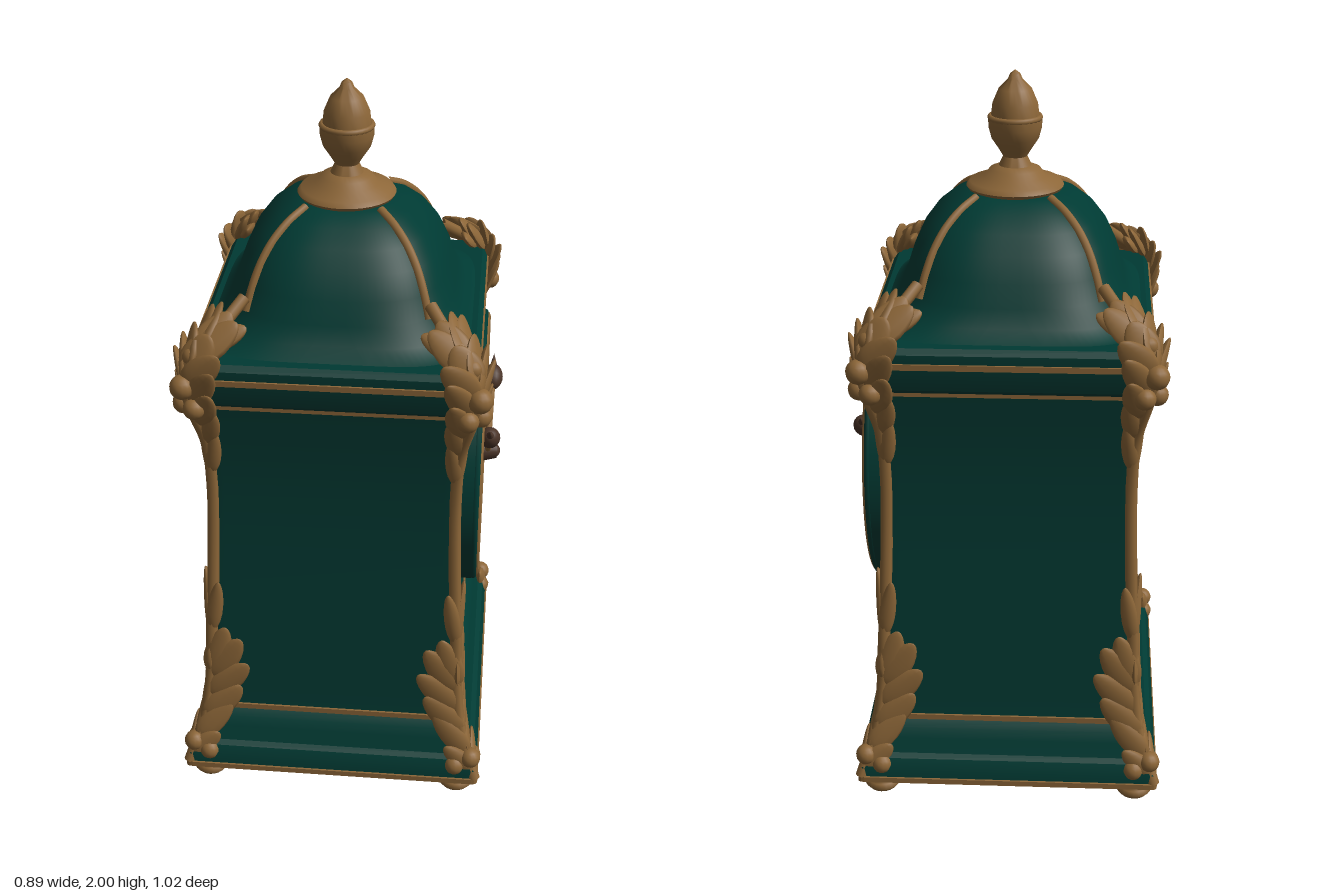
import * as THREE from 'three';
import { mergeGeometries, toCreasedNormals } from 'three/addons/utils/BufferGeometryUtils.js';

const mat = (name, color) => new THREE.MeshStandardMaterial({ name, color });
const V = (x, y, z) => new THREE.Vector3(x, y, z);

// Closed loft through superellipse rings [y, halfX, halfZ, exponent]
function loft(rings, seg = 96) {
  const pos = [], idx = [];
  for (const [y, hx, hz, n] of rings)
    for (let i = 0; i < seg; i++) {
      const a = ((i + 0.5) / seg) * Math.PI * 2, c = Math.cos(a), s = Math.sin(a);
      pos.push(hx * Math.sign(c) * Math.abs(c) ** (2 / n), y, hz * Math.sign(s) * Math.abs(s) ** (2 / n));
    }
  for (let r = 0; r < rings.length - 1; r++)
    for (let i = 0; i < seg; i++) {
      const j = (i + 1) % seg, a = r * seg + i, b = r * seg + j;
      idx.push(a, a + seg, b, b, a + seg, b + seg);
    }
  const last = rings.length - 1, base = pos.length / 3;
  pos.push(0, rings[0][0], 0, 0, rings[last][0], 0);
  for (let i = 0; i < seg; i++) {
    const j = (i + 1) % seg;
    idx.push(base, i, j, base + 1, last * seg + j, last * seg + i);
  }
  const g = new THREE.BufferGeometry();
  g.setAttribute('position', new THREE.Float32BufferAttribute(pos, 3));
  g.setIndex(idx);
  return toCreasedNormals(g, 0.5);
}

// Pointed leaflet from y = 0 to 1, curling towards +z at its tip
function leaflet() {
  const g = new THREE.SphereGeometry(1, 10, 10), p = g.attributes.position;
  for (let i = 0; i < p.count; i++) {
    const t = (p.getY(i) + 1) / 2, taper = 1.1 - 0.35 * t;
    p.setXYZ(i, p.getX(i) * taper, t, p.getZ(i) * taper + 1.1 * t * t);
  }
  g.computeVertexNormals();
  return g;
}

export function createModel() {
  const model = new THREE.Group();
  const teal = mat('deep teal', 0x003a33), gold = mat('antique gold', 0x8c6638);
  const amber = mat('dial amber', 0xe2a259), red = mat('dark red', 0x620006);
  const bronze = mat('dark bronze', 0x4a3428);
  const add = (name, geo, m, parent = model) => {
    const mesh = new THREE.Mesh(geo, m);
    mesh.name = name;
    parent.add(mesh);
    return mesh;
  };

  // Flared plinth, waisted case and cornice
  const N = 70;
  add('case', loft([
    [0.046, 0.425, 0.5, N], [0.09, 0.425, 0.498, N], [0.12, 0.415, 0.485, N], [0.13, 0.4, 0.47, N],
    [0.17, 0.385, 0.455, N], [0.2, 0.375, 0.445, N], [0.22, 0.355, 0.425, N], [0.3, 0.35, 0.418, N],
    [0.5, 0.345, 0.408, N], [0.75, 0.337, 0.392, N], [0.95, 0.333, 0.386, N], [1.1, 0.337, 0.395, N],
    [1.22, 0.35, 0.41, N], [1.24, 0.365, 0.43, N], [1.3, 0.38, 0.445, N], [1.345, 0.385, 0.445, N],
    [1.36, 0.37, 0.43, N],
  ]), teal);

  // Four-sided dome
  const D = 3.1;
  const dome = [
    [1.36, 0.355, 0.4, 5], [1.39, 0.325, 0.362, 4], [1.44, 0.304, 0.338, D], [1.5, 0.285, 0.313, D],
    [1.56, 0.258, 0.277, D], [1.61, 0.222, 0.235, D], [1.65, 0.175, 0.185, D], [1.675, 0.125, 0.13, D], [1.685, 0.08, 0.08, 2],
  ];
  add('dome', loft([[1.35, 0.365, 0.425, N], ...dome]), teal);

  // Gold moulding lines; the last three show on one pair of sides only
  const mouldings = [[0.057, 0.43, 0.505], [0.226, 0.36, 0.43], [1.226, 0.34, 0.419], [1.313, 0.37, 0.451], [1.338, 0.389, 0.43]];
  for (const [y, hx, hz] of mouldings)
    add('moulding', loft([[y - 0.008, hx, hz, N], [y + 0.008, hx, hz, N]]), gold);

  // Finial on its stepped disc
  const finial = [[0.001, 1.67], [0.125, 1.67], [0.135, 1.685], [0.125, 1.698], [0.085, 1.71], [0.07, 1.73],
    [0.045, 1.74], [0.033, 1.765], [0.045, 1.785], [0.065, 1.815], [0.073, 1.845], [0.074, 1.87], [0.066, 1.875],
    [0.062, 1.91], [0.045, 1.95], [0.02, 1.975], [0.014, 1.99], [0.001, 2]].map(p => new THREE.Vector2(...p));
  add('finial', toCreasedNormals(new THREE.LatheGeometry(finial, 32), 0.7), gold);
  const cup = add('finialRim', new THREE.TorusGeometry(0.068, 0.008, 8, 28), gold);
  cup.rotation.x = Math.PI / 2;
  cup.position.y = 1.872;

  // Corner edge path, and leaves as [y, angle, length, halfWidth]
  const path = [[0.42, 0.06, 0.49], [0.375, 0.2, 0.445], [0.355, 0.35, 0.42], [0.35, 0.5, 0.41], [0.342, 0.65, 0.4],
    [0.334, 0.95, 0.384], [0.342, 1.1, 0.397], [0.372, 1.23, 0.435], [0.382, 1.31, 0.445], [0.36, 1.37, 0.415], [0.3, 1.425, 0.338],
    [0.247, 1.48, 0.272]];
  const leaves = [
    [0.08, 0.55, 0.13, 0.035], [0.13, 0.4, 0.18, 0.04], [0.19, 0.6, 0.18, 0.045], [0.26, 0.7, 0.19, 0.045],
    [0.32, 0.5, 0.19, 0.045], [0.34, 0.2, 0.19, 0.04], [0.48, 0.12, 0.2, 0.025],
    [1.0, 0.15, 0.17, 0.025], [1.1, 0.35, 0.15, 0.032], [1.17, 0.5, 0.16, 0.04], [1.24, 0.65, 0.16, 0.04],
    [1.3, 0.75, 0.15, 0.045], [1.33, 0.3, 0.14, 0.05], [1.365, 0.55, 0.17, 0.045], [1.375, 0.15, 0.16, 0.045], [1.39, 0.85, 0.14, 0.035]];
  const scrolls = [[0.405, 0.125, 0.475, 0.03], [0.405, 0.1, 0.43, 0.03], [0.36, 0.1, 0.48, 0.03],
    [0.393, 1.24, 0.425, 0.03], [0.36, 1.24, 0.458, 0.03], [0.39, 1.3, 0.452, 0.034], [0.365, 1.375, 0.42, 0.028]];
  for (const sx of [1, -1]) for (const sz of [1, -1]) {
    const corner = new THREE.Group();
    corner.name = 'cornerMount';
    model.add(corner);
    const curve = new THREE.CatmullRomCurve3(path.map(([x, y, z]) => V(x * sx, y, z * sz)));
    add('cornerEdge', new THREE.TubeGeometry(curve, 60, 0.017, 8), gold, corner);
    const samples = curve.getPoints(300), parts = [];
    for (const [y, angle, len, w] of leaves) for (const side of [0, 1]) {
      const k = samples.findIndex(p => p.y >= y);
      const dir = samples[k + 1].clone().sub(samples[k]).normalize().multiplyScalar(Math.cos(angle));
      dir.addScaledVector(side ? V(-sx, 0, 0) : V(0, 0, -sz), Math.sin(angle)).normalize();
      // Over the cornice the leaves turn to lie against the dome
      const out = side ? V(0, 0, sz) : V(sx, 0, 0);
      if (y > 1.32) out.y += 0.8;
      out.addScaledVector(dir, -out.dot(dir)).normalize();
      const right = dir.clone().cross(out);
      const reach = side ? len * 0.88 : len;
      const m = new THREE.Matrix4().makeBasis(right.multiplyScalar(w), dir.multiplyScalar(reach), out.clone().multiplyScalar(0.017));
      m.setPosition(samples[k].clone().addScaledVector(out, 0.004));
      parts.push(leaflet().applyMatrix4(m));
    }
    for (const [x, y, z, r] of scrolls) parts.push(new THREE.SphereGeometry(r, 14, 10).translate(x * sx, y, z * sz));
    add('acanthusLeaves', mergeGeometries(parts), gold, corner);

    // Rib over the dome
    const f = 0.5 ** (1 / D);
    const rib = new THREE.CatmullRomCurve3(dome.slice(2, 8).map(([y, hx, hz]) => V(hx * f * sx, y, hz * f * sz)));
    add('domeRib', new THREE.TubeGeometry(rib, 24, 0.012, 8), gold);

    // Bun foot
    const foot = [[0.001, 0], [0.04, 0], [0.05, 0.012], [0.045, 0.026], [0.034, 0.034], [0.04, 0.055]].map(p => new THREE.Vector2(...p));
    add('foot', new THREE.LatheGeometry(foot, 20), gold).position.set(0.365 * sx, 0, 0.44 * sz);
  }

  // Dial assembly, facing +x
  const dial = new THREE.Group();
  dial.name = 'dial';
  dial.rotation.y = Math.PI / 2;
  dial.position.y = 0.905;
  model.add(dial);
  const face = new THREE.Group();
  face.name = 'dialFace';
  face.scale.set(0.965, 1.02, 1);
  dial.add(face);
  const disc = (name, r0, r1, z0, z1, m) =>
    add(name, new THREE.CylinderGeometry(r1, r0, z1 - z0, 64).rotateX(Math.PI / 2).translate(0, 0, (z0 + z1) / 2), m, face);
  const ring = (name, r, t, z, m) => add(name, new THREE.TorusGeometry(r, t, 8, 64).translate(0, 0, z), m, face);
  disc('dialDrum', 0.395, 0.391, 0.27, 0.383, teal);
  disc('dialPlate', 0.37, 0.37, 0.38, 0.387, amber);
  ring('dialSurround', 0.381, 0.011, 0.387, teal);
  ring('bezel', 0.372, 0.013, 0.391, gold);
  ring('bezelInnerLine', 0.356, 0.005, 0.388, bronze);
  ring('chapterRing', 0.238, 0.006, 0.387, gold);
  for (let i = 0; i < 12; i++) {
    const marker = new THREE.Group();
    marker.name = 'hourMarker';
    marker.rotation.z = (i * Math.PI) / 6;
    face.add(marker);
    add('markerFrame', new THREE.BoxGeometry(0.034, 0.1, 0.008).translate(0, 0.3, 0.388), gold, marker);
    add('markerBar', new THREE.BoxGeometry(0.022, 0.088, 0.006).translate(0, 0.3, 0.391), bronze, marker);
  }

  // Painted red centre
  const blot = [[-0.2, 0.2], [-0.13, 0.19], [-0.1, 0.14], [-0.03, 0.175], [0.08, 0.16], [0.13, 0.1], [0.2, 0.02], [0.19, -0.06],
    [0.1, -0.11], [0.02, -0.15], [-0.06, -0.12], [-0.16, -0.1], [-0.21, -0.03], [-0.16, 0.05], [-0.19, 0.12]];
  const outline = new THREE.SplineCurve([...blot, blot[0]].map(p => new THREE.Vector2(...p))).getPoints(75);
  add('redCentre', new THREE.ExtrudeGeometry(new THREE.Shape(outline), { depth: 0.004, bevelEnabled: false }).translate(0, 0, 0.386), red, dial);

  // Hands and hub
  const hub = V(0, -0.02, 0.413);
  for (const tip of [V(-0.175, 0.125, 0.418), V(0.185, 0.125, 0.418)]) {
    add('hand', new THREE.TubeGeometry(new THREE.LineCurve3(hub, tip), 4, 0.009, 8), gold, dial);
    const blob = add('handTip', new THREE.SphereGeometry(0.035, 16, 12).scale(0.85, 1.15, 0.85), bronze, dial);
    blob.position.copy(tip);
    blob.rotation.z = -Math.atan2(tip.x, tip.y + 0.02);
    const point = add('handPoint', new THREE.ConeGeometry(0.014, 0.05, 10), bronze, dial);
    point.position.copy(tip).addScaledVector(tip.clone().sub(hub).normalize(), 0.05);
    point.rotation.z = blob.rotation.z;
  }
  add('hub', new THREE.CylinderGeometry(0.022, 0.036, 0.055, 20).rotateX(Math.PI / 2).translate(0, -0.02, 0.413), bronze, dial);
  add('hubCap', new THREE.SphereGeometry(0.022, 16, 12).translate(0, -0.02, 0.428), bronze, dial);
  return model;
}
